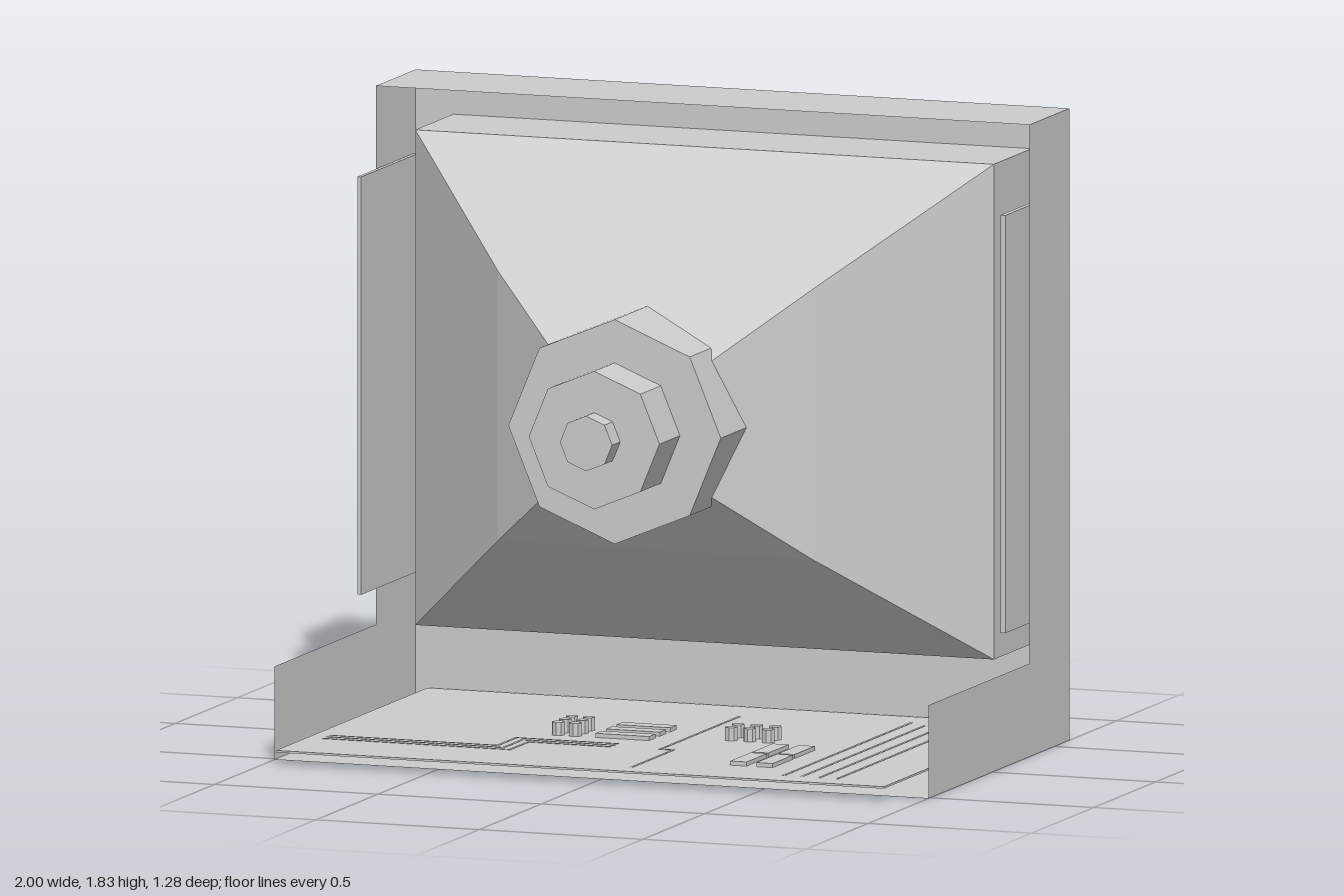
import * as THREE from 'three';

export function createModel() {
  const model = new THREE.Group();
  const solid = new THREE.MeshStandardMaterial({ color: 0xcccccc, flatShading: true });
  const sheet = new THREE.MeshStandardMaterial({ color: 0xcccccc, flatShading: true, side: THREE.DoubleSide });

  const add = (name, geometry, material = solid, parent = model) => {
    const mesh = new THREE.Mesh(geometry, material);
    mesh.name = name;
    parent.add(mesh);
    return mesh;
  };
  const group = (name) => {
    const g = new THREE.Group();
    g.name = name;
    model.add(g);
    return g;
  };
  // Box given by its lower and upper limits on each axis
  const box = (name, [x0, x1], [y0, y1], [z0, z1], parent = model) =>
    add(name, new THREE.BoxGeometry(x1 - x0, y1 - y0, z1 - z0)
      .translate((x0 + x1) / 2, (y0 + y1) / 2, (z0 + z1) / 2), solid, parent);
  const polygon = (points) => new THREE.Shape(points.map(([x, y]) => new THREE.Vector2(x, y)));
  const rectangle = (x0, x1, y0, y1) => [[x0, y0], [x1, y0], [x1, y1], [x0, y1]];

  const top = 1.83, back = -0.62, rim = -0.3, trayFront = 0.515, trayTop = 0.27;
  const centreY = 0.99, halfW = 0.885, halfH = 0.717;

  // Thin open casing: bezel with screen opening, L-shaped sides, top and bottom
  const casing = group('casing');
  const bezel = polygon(rectangle(-1, 1, 0, top));
  bezel.holes.push(polygon(rectangle(-halfW, halfW, centreY - halfH, centreY + halfH)));
  add('bezel', new THREE.ShapeGeometry(bezel).translate(0, 0, back), sheet, casing);
  const side = polygon([[back, 0], [trayFront, 0], [trayFront, trayTop], [rim, trayTop], [rim, top], [back, top]]);
  for (const x of [-1, 1]) {
    add('sideWall', new THREE.ShapeGeometry(side).rotateY(-Math.PI / 2).translate(x, 0, 0), sheet, casing);
  }
  const level = (name, z0, z1, y) => add(name,
    new THREE.PlaneGeometry(2, z1 - z0).rotateX(-Math.PI / 2).translate(0, y, (z0 + z1) / 2), sheet, casing);
  level('topWall', back, rim, top);
  level('bottomWall', back, trayFront, 0);

  // Controls on the bezel
  box('slot', [-0.12, 0.18], [0.09, 0.14], [-0.64, back]);
  box('powerButton', [-0.83, -0.73], [0.065, 0.16], [-0.64, back]);

  // Picture tube: rectangular cross-sections [z, half width, half height]
  const rings = [[back, halfW, halfH], [-0.315, halfW, halfH], [0.085, 0.48, 0.39], [0.3, 0.2, 0.163]];
  const positions = [], indices = [];
  rings.forEach(([z, w, h], k) => {
    for (const [sx, sy] of [[1, 1], [-1, 1], [-1, -1], [1, -1]]) positions.push(sx * w, centreY + sy * h, z);
    if (k === 0) return;
    for (let i = 0; i < 4; i++) {
      const j = (i + 1) % 4, a = 4 * (k - 1), b = 4 * k;
      indices.push(a + i, a + j, b + j, a + i, b + j, b + i);
    }
  });
  let funnel = new THREE.BufferGeometry();
  funnel.setAttribute('position', new THREE.Float32BufferAttribute(positions, 3));
  funnel.setIndex(indices);
  funnel = funnel.toNonIndexed();
  funnel.computeVertexNormals();
  add('tubeFunnel', funnel, sheet);
  add('screen', new THREE.PlaneGeometry(2 * halfW, 2 * halfH).translate(0, centreY, -0.575), sheet);

  // Stepped octagonal neck
  for (const [name, r, z0, z1] of [
    ['neckCollar', 0.325, 0.1, 0.41], ['neckMiddle', 0.2, 0.4, 0.575], ['neckTip', 0.08, 0.56, 0.64],
  ]) {
    add(name, new THREE.CylinderGeometry(r, r, z1 - z0, 8).rotateX(Math.PI / 2)
      .translate(0, centreY, (z0 + z1) / 2));
  }

  // Upright boards beside the tube
  box('leftSideBoard', [0.97, 0.985], [0.38, 1.59], [-0.6, -0.145]);
  box('rightSideBoard', [-0.998, -0.986], [0.38, 1.59], [-0.6, -0.145]);

  // Main circuit board
  const board = group('circuitBoard');
  const boardTop = 0.043;
  box('boardPlate', [-0.96, 0.9], [0.037, boardTop], [-0.61, 0.61], board);

  // Chips
  for (const z of [-0.13, -0.045, 0.04]) {
    box('chip', [-0.19, -0.025], [boardTop, 0.055], [z - 0.025, z + 0.025], board);
  }
  for (const x of [0.35, 0.43]) {
    for (const z of [0.06, 0.235]) box('chip', [x, x + 0.05], [boardTop, 0.055], [z, z + 0.165], board);
  }

  // Capacitors in two clusters
  const capacitors = (xs, zs) => {
    for (const x of xs) for (const z of zs) {
      add('capacitor', new THREE.CylinderGeometry(0.019, 0.019, 0.04, 8)
        .translate(x, boardTop + 0.018, z), solid, board);
    }
  };
  capacitors([-0.307, -0.255], [-0.055, 0, 0.055]);
  capacitors([0.19, 0.247, 0.303], [-0.085, -0.03]);

  // Copper traces follow right-angled paths of [x, z] points
  const trace = (points) => {
    for (let i = 1; i < points.length; i++) {
      const [x0, z0] = points[i - 1], [x1, z1] = points[i], t = 0.004;
      box('trace', [Math.min(x0, x1) - t, Math.max(x0, x1) + t], [boardTop - 0.001, boardTop + 0.001],
        [Math.min(z0, z1) - t, Math.max(z0, z1) + t], board);
    }
  };
  for (let i = 0; i < 3; i++) {
    const d = i * 0.03;
    trace([[-0.91, 0.3 + d], [-0.4 + d, 0.3 + d], [-0.4 + d, 0.15 + d], [-0.09, 0.15 + d]]);
  }
  trace([[0.1, 0.54], [0.1, 0.2], [0.06, 0.2], [0.06, -0.43]]);
  for (let i = 0; i < 4; i++) trace([[0.56 + i * 0.055, 0.52], [0.56 + i * 0.055, -0.5 + i * 0.04]]);

  return model;
}
